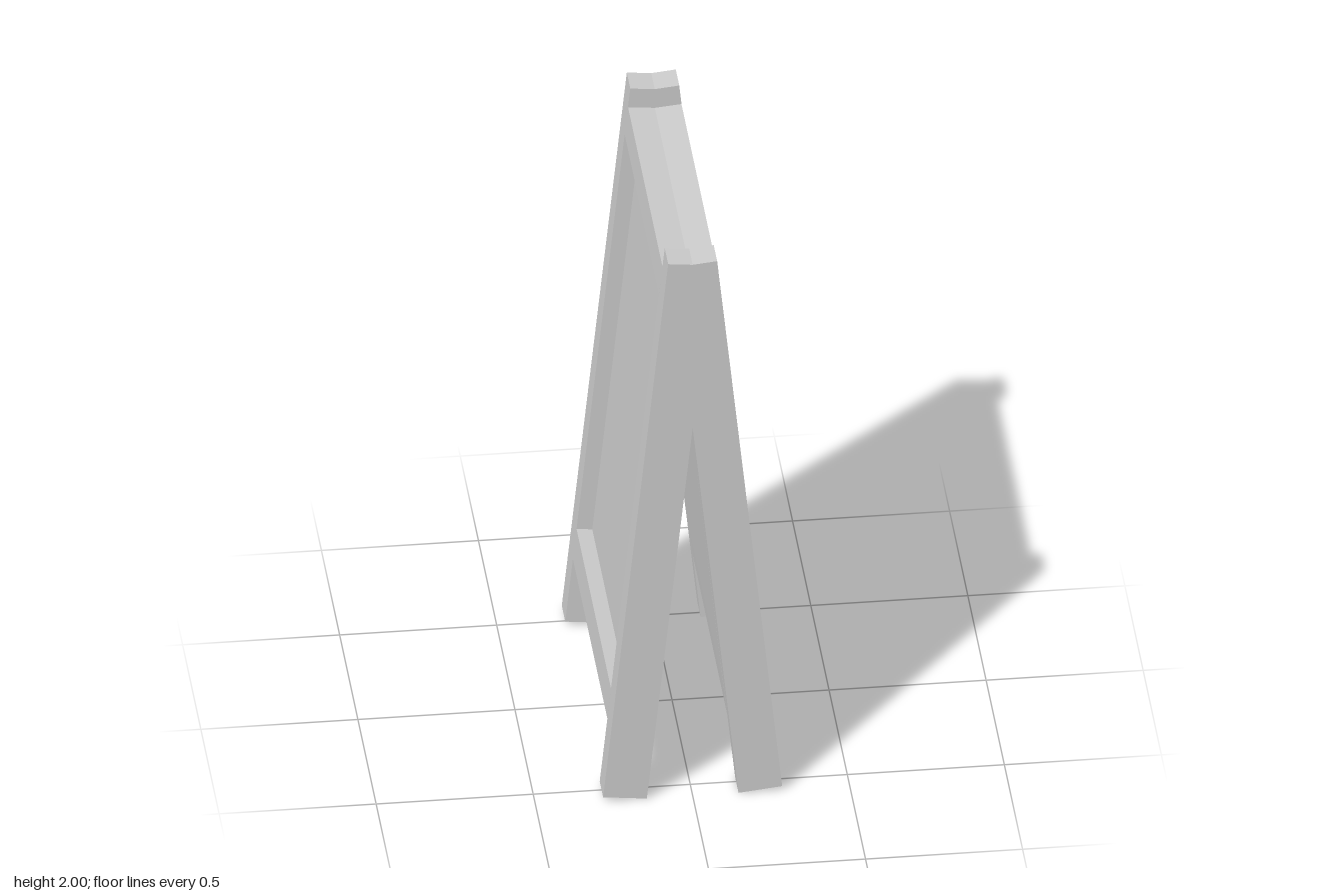
import * as THREE from 'three';

const HALF_DEPTH = 0.567; // outer face of the end legs
const INNER = 0.472;      // inner face of the end legs

const material = new THREE.MeshStandardMaterial({ color: 0xcccccc, flatShading: true });

// Extrude an x-y profile along z from z0 to z1
function slab(name, points, z0, z1) {
  const shape = new THREE.Shape(points.map(([x, y]) => new THREE.Vector2(x, y)));
  const geometry = new THREE.ExtrudeGeometry(shape, { depth: z1 - z0, bevelEnabled: false });
  geometry.translate(0, 0, z0);
  const mesh = new THREE.Mesh(geometry, material);
  mesh.name = name;
  return mesh;
}

const flip = (points) => points.map(([x, y]) => [-x, y]);

// Close a half profile that starts and ends on x = 0
const symmetric = (half) => [...half, ...flip(half.slice(1, -1)).reverse()];

export function createModel() {
  const group = new THREE.Group();
  group.name = 'sandwichBoard';

  // A-shaped leg pairs at both ends
  const legs = symmetric([[0, 1.992], [0.078, 2], [0.285, 0.015], [0.146, 0], [0, 1.38]]);
  group.add(slab('frontLegs', legs, INNER, HALF_DEPTH));
  group.add(slab('backLegs', legs, -HALF_DEPTH, -INNER));

  // Top rail shared by both boards
  const topRail = symmetric([[0, 1.922], [0.085, 1.93], [0.096, 1.83], [0.046, 1.825], [0, 1.825]]);
  group.add(slab('topRail', topRail, -INNER, INNER));

  // Recessed panel and bottom rail on each side
  const panel = [[0, 1.825], [0.046, 1.825], [0.199, 0.355], [0.109, 0.345], [0, 1.38]];
  const bottomRail = [[0.109, 0.345], [0.199, 0.355], [0.249, 0.36], [0.261, 0.25], [0.121, 0.235]];
  for (const [side, place] of [['left', (p) => p], ['right', flip]]) {
    group.add(slab(side + 'Panel', place(panel), -INNER, INNER));
    group.add(slab(side + 'BottomRail', place(bottomRail), -INNER, INNER));
  }

  return group;
}
